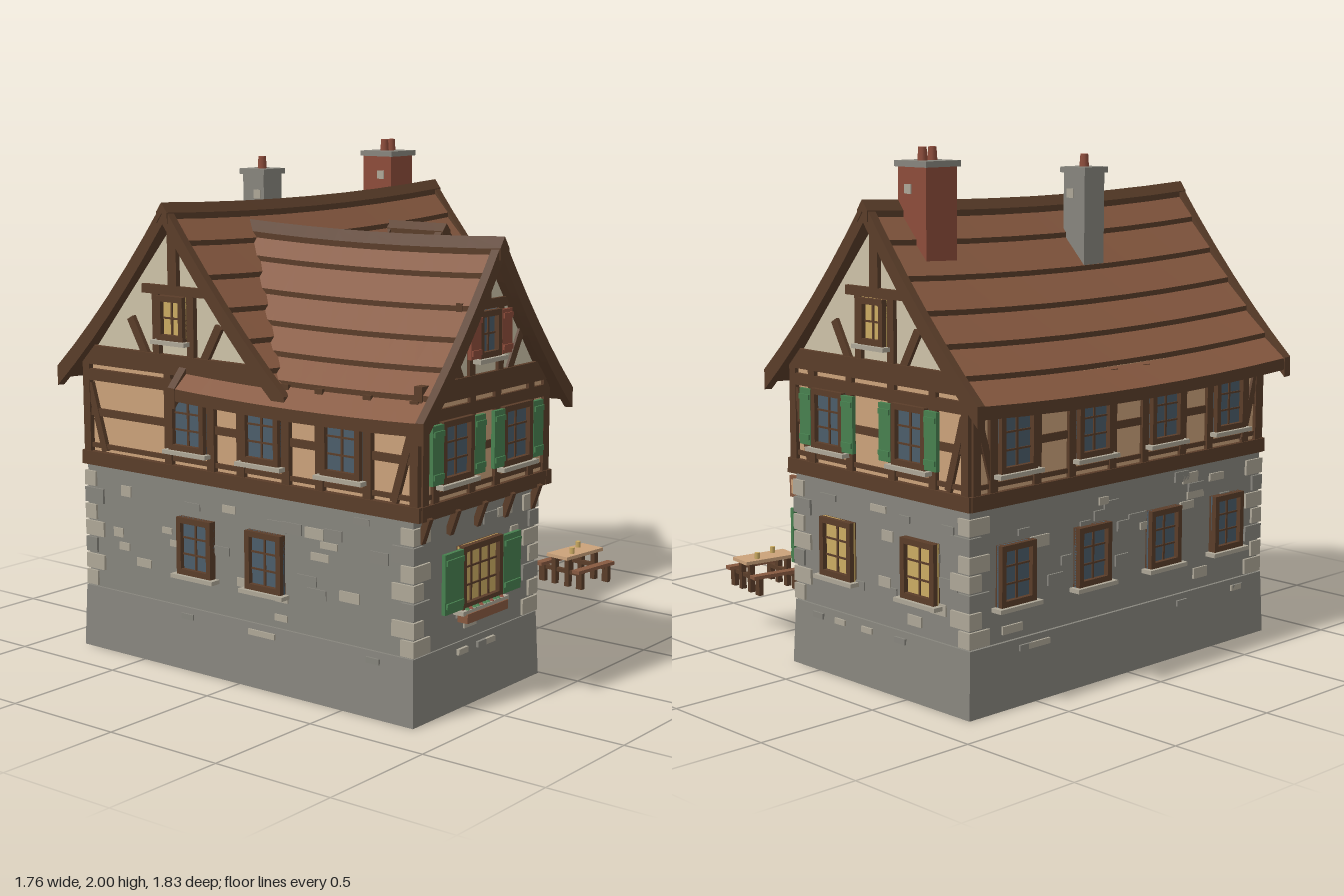
import * as THREE from 'three';

const mat = (name, color) => new THREE.MeshStandardMaterial({ name, color, side: THREE.DoubleSide });
const M = {
  stone: mat('grey stone', 0x87857d), pale: mat('pale stone', 0xaea797), timber: mat('dark timber', 0x5a3d29),
  tan: mat('tan plaster', 0xcba27a), cream: mat('cream plaster', 0xcdc2a8), wood: mat('red brown wood', 0x875940),
  blue: mat('blue glass', 0x4b5d6a), lit: mat('lit glass', 0xcbab62), green: mat('green paint', 0x47804f),
  brick: mat('brick red', 0x8d4c3a),
};
let seed = 7;
const rnd = () => (seed = (seed * 16807) % 2147483647) / 2147483647;

function add(p, name, geo, m, x = 0, y = 0, z = 0) {
  const o = new THREE.Mesh(geo, m);
  o.name = name; o.position.set(x, y, z); p.add(o);
  return o;
}
const box = (p, name, m, w, h, d, x, y, z) => add(p, name, new THREE.BoxGeometry(w, h, d), m, x, y, z);
// box given by its limits
const span = (p, name, m, x0, x1, y0, y1, z0, z1) =>
  box(p, name, m, x1 - x0, y1 - y0, z1 - z0, (x0 + x1) / 2, (y0 + y1) / 2, (z0 + z1) / 2);
// timber between two points of a wall
function beam(p, u0, y0, u1, y1, w = 0.04, d = 0.026, name = 'timberBeam') {
  const o = box(p, name, M.timber, Math.hypot(u1 - u0, y1 - y0), w, d, (u0 + u1) / 2, (y0 + y1) / 2, 0);
  o.rotation.z = Math.atan2(y1 - y0, u1 - u0);
}
function group(p, name, x = 0, y = 0, z = 0, ry = 0) {
  const g = new THREE.Group();
  g.name = name; g.position.set(x, y, z); g.rotation.y = ry; p.add(g);
  return g;
}

// window in a wall plane: glass, frame, glazing bars, sill, shutters
function windowAt(p, u, y0, y1, w, glass, { shutter = 0, paint = M.green, cols = 2, rows = 3 } = {}) {
  const g = group(p, 'window', u, (y0 + y1) / 2, 0), h = y1 - y0;
  box(g, 'glass', glass, w, h, 0.008, 0, 0, 0.009);
  for (const s of [-1, 1]) {
    box(g, 'frameSide', M.timber, 0.022, h, 0.04, s * (w / 2 - 0.011), 0, 0.012);
    box(g, 'frameRail', M.timber, w, 0.022, 0.04, 0, s * (h / 2 - 0.011), 0.012);
    if (shutter) {
      const x = s * (w + shutter) / 2;
      box(g, 'shutter', paint, shutter, h * 0.95, 0.016, x, 0, 0.026);
      for (const t of [-1, 1]) box(g, 'shutterRail', paint, shutter * 0.9, 0.02, 0.008, x, t * h * 0.34, 0.037);
    }
  }
  for (let i = 1; i < cols; i++) box(g, 'bar', M.timber, 0.009, h, 0.008, (i / cols - 0.5) * (w - 0.03), 0, 0.014);
  for (let i = 1; i < rows; i++) box(g, 'bar', M.timber, w, 0.007, 0.008, 0, (i / rows - 0.5) * (h - 0.03), 0.014);
  box(g, 'sill', M.pale, w + 0.04, 0.016, 0.05, 0, -h / 2 - 0.008, 0.022);
}

// half timbering of the upper floor
function framing(p, u0, u1, windows, braces = true) {
  beam(p, u0 - 0.01, 0.778, u1 + 0.01, 0.778, 0.055, 0.036, 'sillBeam');
  beam(p, u0, 1.115, u1, 1.115, 0.045);
  beam(p, u0, 0.965, u1, 0.965, 0.03, 0.012);
  beam(p, u0, 0.83, u1, 0.83, 0.018, 0.012);
  const posts = [u0 + 0.018, u1 - 0.018];
  windows.forEach(u => posts.push(u - 0.11, u + 0.11));
  posts.forEach(u => beam(p, u, 0.76, u, 1.18, 0.036));
  if (braces) for (const [a, s] of [[u0, 1], [u1, -1]]) beam(p, a + s * 0.03, 1.08, a + s * 0.11, 0.81, 0.03, 0.02);
}
function gableFraming(p, half, yTop, glass, opts) {
  beam(p, -half, 1.195, half, 1.195, 0.075, 0.034, 'tieBeam');
  beam(p, -0.16, 1.48, 0.16, 1.48, 0.035);
  beam(p, 0, 1.48, 0, yTop, 0.045);
  for (const s of [-1, 1]) {
    beam(p, s * 0.09, 1.2, s * 0.09, 1.48, 0.034);
    beam(p, s * 0.15, 1.22, s * 0.23, 1.36, 0.034, 0.02);
  }
  windowAt(p, 0, 1.29, 1.46, 0.135, glass, { rows: 2, ...opts });
}
function stones(p, u0, u1, n) {
  for (let i = 0; i < n; i++) {
    const w = 0.05 + rnd() * 0.05, u = u0 + 0.1 + rnd() * (u1 - u0 - 0.2);
    box(p, 'wallStone', rnd() < 0.45 ? M.pale : M.stone, w, 0.024 + rnd() * 0.02, 0.014, u, 0.29 + rnd() * 0.43, 0);
  }
  for (let i = 0; i < n / 5; i++)
    box(p, 'plinthStone', i % 2 ? M.stone : M.pale, 0.06, 0.022, 0.04, u0 + 0.08 + rnd() * (u1 - u0 - 0.16), 0.215, 0);
}

// curved, sagging roof with stepped courses; ridge runs along local z
function roof(root, name, x, z, ry, f, half, len, sag, n, verge) {
  const g = group(root, name, x, 0, z, ry), L = len / 2;
  const slab = (side, d0, d1, tA, tB, bot, z0, z1, m, part, seg = 1) => {
    const geo = new THREE.BoxGeometry(1, 1, 1, seg, 1, 8), a = geo.attributes.position;
    for (let i = 0; i < a.count; i++) {
      const u = 0.5 + side * a.getX(i), d = d0 + (d1 - d0) * u, zz = z0 + (z1 - z0) * (a.getZ(i) + 0.5);
      const off = a.getY(i) > 0 ? tA + (tB - tA) * u : bot;
      a.setXYZ(i, side * d, f(d) + off - sag * (1 - (zz / L) ** 2), zz);
    }
    geo.computeVertexNormals();
    add(g, part, geo, m);
  };
  const { wood: w, timber: t } = M;
  for (const s of [-1, 1]) {
    for (let i = 0; i < n; i++)
      slab(s, half * i / n, half * (i + 1) / n, -0.008, 0.012, -0.035, -L + 0.01, L - 0.01, [t, t, w, t, w, w], 'roofCourse');
    for (const e of [-1, 1])
      slab(s, 0, half + 0.004, 0.018, 0.018, -verge, e < 0 ? -L : L - 0.035, e < 0 ? -L + 0.035 : L, t, 'bargeBoard', 6);
    slab(s, 0, 0.028, 0.022, 0.022, -0.02, -L - 0.004, L + 0.004, t, 'ridgeCap');
  }
}
function prism(p, name, m, pts, depth, x, z, ry) {
  const geo = new THREE.ExtrudeGeometry(new THREE.Shape(pts.map(q => new THREE.Vector2(...q))), { depth, bevelEnabled: false });
  add(p, name, geo, m, x, 0, z).rotation.y = ry;
}
// tapered plinth, open below
function plinth(p, name, x0, x1, z0, z1) {
  const geo = new THREE.BoxGeometry(x1 - x0, 0.25, z1 - z0), a = geo.attributes.position;
  for (let i = 0; i < a.count; i++) if (a.getY(i) > 0)
    a.setXYZ(i, a.getX(i) - Math.sign(a.getX(i)) * 0.01, a.getY(i), a.getZ(i) - Math.sign(a.getZ(i)) * 0.008);
  geo.setIndex([...geo.index.array].filter((_, i) => i < 18 || i > 23));
  geo.computeVertexNormals();
  add(p, name, geo, M.stone, (x0 + x1) / 2, 0.125, (z0 + z1) / 2);
}
function barrel(p, x, y, z) {
  const r = [[0, 0], [0.035, 0], [0.045, 0.04], [0.045, 0.085], [0.035, 0.125], [0, 0.125]].map(q => new THREE.Vector2(...q));
  const g = group(p, 'barrel', x, y, z);
  add(g, 'staves', new THREE.LatheGeometry(r, 12), M.wood);
  for (const h of [0.025, 0.1]) add(g, 'hoop', new THREE.CylinderGeometry(0.044, 0.044, 0.01, 12), M.blue, 0, h, 0);
}
function table(p, x, z, ry) {
  const g = group(p, 'tableSet', x, 0.185, z, ry);
  box(g, 'tableTop', M.tan, 0.235, 0.014, 0.11, 0, 0.123, 0);
  for (const s of [-1, 1]) {
    box(g, 'bench', M.wood, 0.235, 0.014, 0.036, 0, 0.075, s * 0.1);
    box(g, 'trestle', M.timber, 0.02, 0.016, 0.2, s * 0.08, 0.06, 0);
    for (const t of [-1, 1]) {
      box(g, 'tableLeg', M.timber, 0.022, 0.118, 0.022, s * 0.085, 0.058, t * 0.035);
      box(g, 'benchLeg', M.timber, 0.02, 0.07, 0.03, s * 0.085, 0.034, t * 0.1);
    }
    add(g, 'mug', new THREE.CylinderGeometry(0.011, 0.011, 0.026, 8), M.lit, s * 0.05, 0.142, s * -0.025);
  }
}

export function createModel() {
  const root = new THREE.Group();
  root.name = 'timberFramedInn';
  // masonry and plaster bodies
  plinth(root, 'mainPlinth', -0.82, 0.835, -0.835, 0.16);
  plinth(root, 'wingPlinth', -0.82, -0.01, -0.32, 0.825);
  span(root, 'mainStoneWall', M.stone, -0.8, 0.815, 0.25, 0.76, -0.815, 0.15);
  span(root, 'wingStoneWall', M.stone, -0.8, -0.025, 0.25, 0.76, 0, 0.81);
  span(root, 'mainUpperWall', M.tan, -0.79, 0.81, 0.755, 1.19, -0.815, 0.165);
  span(root, 'wingUpperWall', M.tan, -0.79, 0.005, 0.755, 1.17, 0, 0.83);
  prism(root, 'mainGable', M.cream, [[-0.47, 1.18], [0.47, 1.18], [0, 1.74]], 1.6, -0.79, -0.325, Math.PI / 2);
  prism(root, 'wingGable', M.cream, [[-0.37, 1.16], [0.37, 1.16], [0, 1.66]], 1.03, -0.405, -0.2, 0);
  // roofs
  roof(root, 'mainRoof', 0.008, -0.325, Math.PI / 2, d => 1.795 - 1.35 * d + 0.363 * d * d, 0.587, 1.73, 0.025, 6, 0.06);
  roof(root, 'wingRoof', -0.405, 0.31, 0, d => 1.705 - 1.5 * d + 0.5 * d * d, 0.472, 1.2, 0.015, 6, 0.06);
  // dormer
  roof(root, 'dormerRoof', 0.425, -0.09, 0, d => 1.65 - 1.1 * d, 0.142, 0.3, 0, 2, 0.025);
  prism(root, 'dormerWall', M.cream, [[-0.095, 1.3], [0.095, 1.3], [0.095, 1.51], [0, 1.615], [-0.095, 1.51]], 0.2, 0.425, -0.165, 0);
  const dormer = group(root, 'dormerFront', 0.425, 0, 0.036);
  for (const s of [-1, 1]) beam(dormer, s * 0.085, 1.36, s * 0.085, 1.52, 0.022);
  windowAt(dormer, 0, 1.385, 1.53, 0.135, M.lit);

  // wall planes: local x along the wall, local z outwards
  const wall = (name, x, z, ry) => group(root, name, x, 0, z, ry), Q = Math.PI / 2;
  const wingLow = wall('wingFrontLower', 0, 0.81, 0), wingUp = wall('wingFrontUpper', 0, 0.83, 0);
  stones(wingLow, -0.8, -0.025, 12);
  windowAt(wingLow, -0.412, 0.375, 0.61, 0.255, M.lit, { shutter: 0.115, cols: 4 });
  framing(wingUp, -0.79, 0.01, [-0.6, -0.22], false);
  for (const u of [-0.6, -0.22]) windowAt(wingUp, u, 0.87, 1.095, 0.19, M.blue, { shutter: 0.066 });
  gableFraming(group(wingUp, 'wingGableFrame', -0.405), 0.4, 1.66, M.blue, { shutter: 0.062, paint: M.brick });
  for (const u of [-0.76, -0.59, -0.42, -0.24, -0.06]) {
    const b = box(wingUp, 'jettyBracket', M.timber, 0.024, 0.1, 0.026, u, 0.715, 0);
    b.rotation.x = 0.35;
  }
  // flower box
  box(wingLow, 'flowerBox', M.wood, 0.26, 0.035, 0.045, -0.41, 0.345, 0.03);
  for (let i = 0; i < 11; i++)
    add(wingLow, 'flower', new THREE.IcosahedronGeometry(0.014, 0), i % 3 == 1 ? M.brick : M.green, -0.52 + i * 0.022, 0.37, 0.035);

  const mainLow = wall('mainFrontLower', 0, 0.15, 0), mainUp = wall('mainFrontUpper', 0, 0.165, 0);
  stones(mainLow, 0, 0.815, 10);
  windowAt(mainLow, 0.65, 0.385, 0.61, 0.18, M.lit, { shutter: 0.08 });
  framing(mainUp, 0.01, 0.815, [0.26, 0.645], false);
  windowAt(mainUp, 0.645, 0.875, 1.1, 0.18, M.lit);
  for (const u of [0.6, 0.76]) box(mainUp, 'jettyBracket', M.timber, 0.02, 0.08, 0.03, u, 0.715, 0);
  // arched entrance
  const arch = (name, m, r, depth) => {
    const s = new THREE.Shape();
    s.moveTo(-r, 0.25).lineTo(r, 0.25).lineTo(r, 0.5).absarc(0, 0.5, r, 0, Math.PI, false);
    add(mainLow, name, new THREE.ExtrudeGeometry(s, { depth, bevelEnabled: false, curveSegments: 14 }), m, 0.3, 0, 0);
  };
  arch('doorFrame', M.timber, 0.15, 0.028);
  arch('door', M.wood, 0.126, 0.034);
  for (let i = -2; i <= 2; i++) box(mainLow, 'plankGap', M.timber, 0.005, 0.34, 0.004, 0.3 + i * 0.042, 0.42, 0.034);
  for (const y of [0.345, 0.5]) box(mainLow, 'doorStrap', M.blue, 0.23, 0.016, 0.006, 0.3, y, 0.036);
  for (const x of [0.285, 0.315]) add(mainLow, 'doorKnob', new THREE.SphereGeometry(0.009, 8, 6), M.lit, x, 0.42, 0.042);
  span(root, 'doorStep', M.pale, 0.14, 0.46, 0.165, 0.25, 0.1, 0.26);
  // balcony with its door
  box(mainUp, 'balconyDoorFrame', M.timber, 0.18, 0.34, 0.03, 0.26, 0.925, 0.006);
  box(mainUp, 'balconyDoor', M.wood, 0.145, 0.32, 0.01, 0.26, 0.92, 0.02);
  for (const i of [-1, 0, 1]) box(mainUp, 'plankGap', M.timber, 0.004, 0.32, 0.004, 0.26 + i * 0.036, 0.92, 0.025);
  for (const y of [0.83, 0.99]) box(mainUp, 'doorStrap', M.blue, 0.13, 0.012, 0.006, 0.26, y, 0.026);
  const balcony = group(root, 'balcony');
  span(balcony, 'balconyFloor', M.tan, 0.065, 0.47, 0.745, 0.757, 0.165, 0.32);
  span(balcony, 'floorBeam', M.timber, 0.06, 0.475, 0.722, 0.745, 0.165, 0.315);
  span(balcony, 'handrail', M.timber, 0.06, 0.475, 0.852, 0.868, 0.295, 0.313);
  span(balcony, 'underBeam', M.wood, 0.13, 0.465, 0.665, 0.705, 0.15, 0.2);
  for (let i = 0; i <= 8; i++) span(balcony, 'baluster', M.timber, 0.062 + i * 0.05, 0.074 + i * 0.05, 0.75, 0.86, 0.298, 0.31);
  for (const x of [0.068, 0.467]) {
    box(balcony, 'sideRail', M.timber, 0.016, 0.016, 0.14, x, 0.86, 0.235);
    box(balcony, 'cornerPost', M.timber, 0.02, 0.14, 0.02, x, 0.81, 0.304);
    for (const z of [0.2, 0.25]) box(balcony, 'baluster', M.timber, 0.012, 0.1, 0.012, x, 0.805, z);
  }
  for (const x of [0.145, 0.445]) box(balcony, 'balconyBrace', M.timber, 0.026, 0.15, 0.026, x, 0.685, 0.2).rotation.x = 0.7;
  // lanterns and hanging board
  for (const x of [0.09, 0.51]) {
    box(mainLow, 'lanternArm', M.timber, 0.012, 0.012, 0.05, x, 0.56, 0.025);
    box(mainLow, 'lanternLight', M.lit, 0.028, 0.045, 0.028, x, 0.522, 0.045);
    add(mainLow, 'lanternCap', new THREE.ConeGeometry(0.026, 0.02, 4), M.timber, x, 0.555, 0.045);
  }
  span(root, 'boardArm', M.timber, 0.735, 0.75, 0.72, 0.735, 0.15, 0.29);
  span(root, 'boardFrame', M.wood, 0.735, 0.751, 0.625, 0.71, 0.17, 0.275);
  span(root, 'boardPanel', M.tan, 0.732, 0.754, 0.64, 0.695, 0.182, 0.262);

  // right side of main house and of wing
  const right = wall('rightWall', 0.814, 0, Q);
  stones(right, -0.15, 0.815, 16);
  framing(right, -0.17, 0.82, [0.07, 0.525]);
  for (const u of [0.11, 0.57]) windowAt(right, u, 0.385, 0.61, 0.18, M.lit);
  for (const u of [0.07, 0.525]) windowAt(right, u, 0.87, 1.095, 0.18, M.blue, { shutter: 0.064 });
  gableFraming(group(right, 'rightGableFrame', 0.325), 0.47, 1.73, M.lit);
  const wingSide = wall('wingSideLower', -0.025, 0, Q), wingSideUp = wall('wingSideUpper', 0.007, 0, Q);
  stones(wingSide, -0.81, -0.15, 8);
  windowAt(wingSide, -0.505, 0.385, 0.61, 0.175, M.lit);
  framing(wingSideUp, -0.84, -0.17, [-0.54]);
  windowAt(wingSideUp, -0.54, 0.87, 1.095, 0.18, M.blue);
  // back
  const back = wall('backWall', 0, -0.816, Math.PI), cols = [-0.6, -0.2, 0.2, 0.58];
  stones(back, -0.815, 0.8, 26);
  framing(back, -0.81, 0.79, cols);
  for (const u of cols) {
    windowAt(back, u, 0.385, 0.61, 0.175, M.blue);
    windowAt(back, u, 0.87, 1.095, 0.18, M.blue);
  }
  // left side
  const left = wall('leftWall', -0.798, 0, -Q);
  stones(left, -0.81, 0.81, 24);
  framing(left, -0.82, 0.835, [-0.25, 0.12, 0.5]);
  for (const u of [-0.22, 0.13]) windowAt(left, u, 0.385, 0.61, 0.175, M.blue);
  for (const u of [-0.25, 0.12, 0.5]) windowAt(left, u, 0.87, 1.095, 0.18, M.blue);
  gableFraming(group(left, 'leftGableFrame', -0.325), 0.47, 1.73, M.lit);

  // corner stones
  for (const [x, z, sx, sz] of [[-0.8, 0.81, -1, 1], [-0.025, 0.81, 1, 1], [0.815, 0.15, 1, 1], [0.815, -0.815, 1, -1], [-0.8, -0.815, -1, -1]])
    for (let i = 0; i < 7; i++) {
      const a = i % 2 ? 0.06 : 0.1, b = i % 2 ? 0.1 : 0.06;
      box(root, 'cornerStone', i % 3 == 2 ? M.stone : M.pale, a, 0.06, b, x - sx * (a / 2 - 0.01), 0.285 + i * 0.068, z - sz * (b / 2 - 0.01));
    }

  // chimneys
  const chimney = (name, m, x, z, w, y1, pots) => {
    const g = group(root, name, x, 0, z);
    span(g, 'stack', m, -w / 2, w / 2, 1.45, y1, -w / 2, w / 2);
    box(g, 'cap', M.stone, w + 0.02, 0.022, w + 0.02, 0, y1, 0);
    for (const px of pots) add(g, 'pot', new THREE.CylinderGeometry(0.015, 0.019, 0.055, 8), M.brick, px, y1 + 0.032, 0);
    box(g, 'stackStone', M.pale, w + 0.008, 0.035, 0.035, 0, y1 - 0.09, 0.02);
  };
  chimney('greyChimney', M.stone, -0.125, -0.465, 0.11, 1.895, [0]);
  chimney('brickChimney', M.brick, 0.63, -0.4, 0.15, 1.94, [-0.024, 0.024]);

  // yard furniture
  barrel(root, 0.565, 0.187, 0.205);
  barrel(root, 0.658, 0.187, 0.205);
  barrel(root, 0.61, 0.314, 0.205);
  table(root, 0.295, 0.43, 0.2);
  table(root, 0.65, 0.575, -0.13);
  return root;
}
